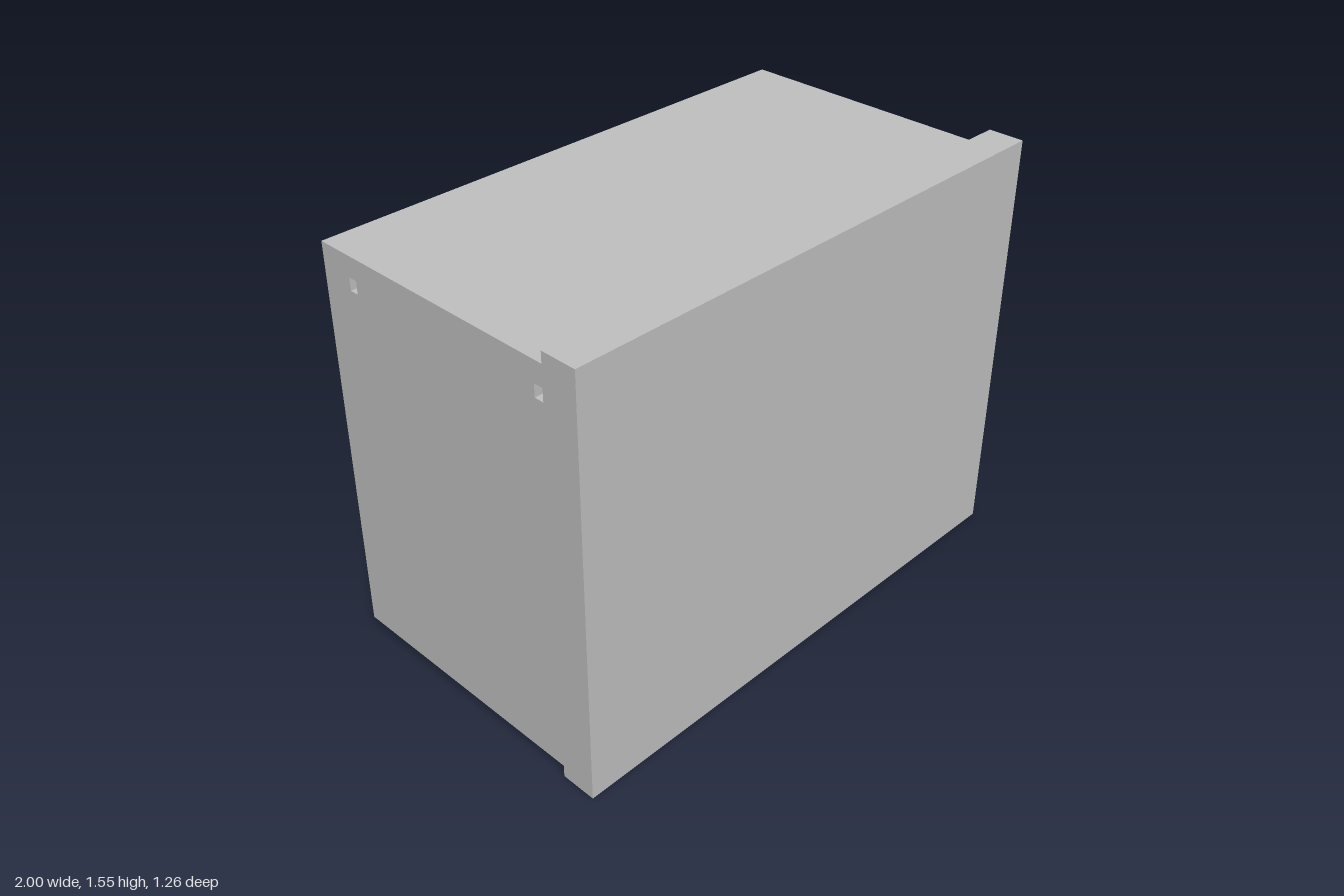
import * as THREE from 'three';

const grey = new THREE.MeshStandardMaterial({ color: 0xc0c0c0 });
grey.name = 'light grey';

// Closed path from corner points
const poly = (pts, Type = THREE.Shape) => new Type(pts.map(([x, y]) => new THREE.Vector2(x, y)));
const rect = (x0, y0, x1, y1, Type) => poly([[x0, y0], [x1, y0], [x1, y1], [x0, y1]], Type);

export function createModel() {
  const group = new THREE.Group();
  group.name = 'cabinet';

  function add(name, geometry) {
    const mesh = new THREE.Mesh(geometry, grey);
    mesh.name = name;
    group.add(mesh);
  }
  function box(name, x0, x1, y0, y1, z0, z1) {
    const g = new THREE.BoxGeometry(x1 - x0, y1 - y0, z1 - z0);
    add(name, g.translate((x0 + x1) / 2, (y0 + y1) / 2, (z0 + z1) / 2));
  }
  // Shape in (x, y), extruded from z0 to z1
  function slabZ(name, shape, z0, z1) {
    const g = new THREE.ExtrudeGeometry(shape, { depth: z1 - z0, bevelEnabled: false, curveSegments: 16 });
    add(name, g.translate(0, 0, z0));
  }
  // Shape in (-z, y), extruded from x0 to x1
  function slabX(name, shape, x0, x1) {
    const g = new THREE.ExtrudeGeometry(shape, { depth: x1 - x0, bevelEnabled: false });
    add(name, g.rotateY(Math.PI / 2).translate(x0, 0, 0));
  }

  // Front panel, overhanging the body
  box('frontPanel', -1, 1, 0, 1.55, 0.505, 0.635);

  // Top and bottom walls with a notch at each inner corner
  const inner = -0.875, open = 0.96;
  slabX('topWall', poly([
    [-0.505, 1.435], [-0.47, 1.435], [-0.47, 1.385], [0.32, 1.385], [0.32, 1.435],
    [0.355, 1.435], [0.355, 1.385], [0.48, 1.385], [0.48, 1.51], [-0.505, 1.51],
  ]), inner, open);
  slabX('bottomWall', poly([
    [-0.505, 0.045], [0.48, 0.045], [0.48, 0.17], [0.355, 0.17], [0.355, 0.125],
    [0.32, 0.125], [0.32, 0.17], [-0.47, 0.17], [-0.47, 0.125], [-0.505, 0.125],
  ]), inner, open);

  // Rails under the top notches
  for (const z of [0.47, -0.355]) box('rail', inner, open, 1.335, 1.385, z, z + 0.035);

  // Closed end wall with two slots in line with the notches
  const end = rect(-0.505, 0.045, 0.48, 1.51);
  for (const x of [-0.504, 0.32]) end.holes.push(rect(x, 1.39, x + 0.034, 1.435, THREE.Path));
  slabX('endWall', end, -1, inner);

  // Back wall with a round cable hole
  const back = rect(inner, 0.17, open, 1.385);
  back.holes.push(new THREE.Path().absarc(0.8, 0.22, 0.035, 0, Math.PI * 2));
  slabZ('backWall', back, -0.48, -0.355);

  // Raised rear frame, with a shallow groove around the base of its window
  for (const [name, z0, z1, m] of [['rearFrame', -0.63, -0.495, 0], ['rearFrameGroove', -0.495, -0.48, 0.02]]) {
    const frame = rect(-0.9, 0.145, 0.86, 1.41);
    frame.holes.push(rect(-0.775 - m, 0.275 - m, 0.73 + m, 1.28 + m, THREE.Path));
    slabZ(name, frame, z0, z1);
  }
  return group;
}
